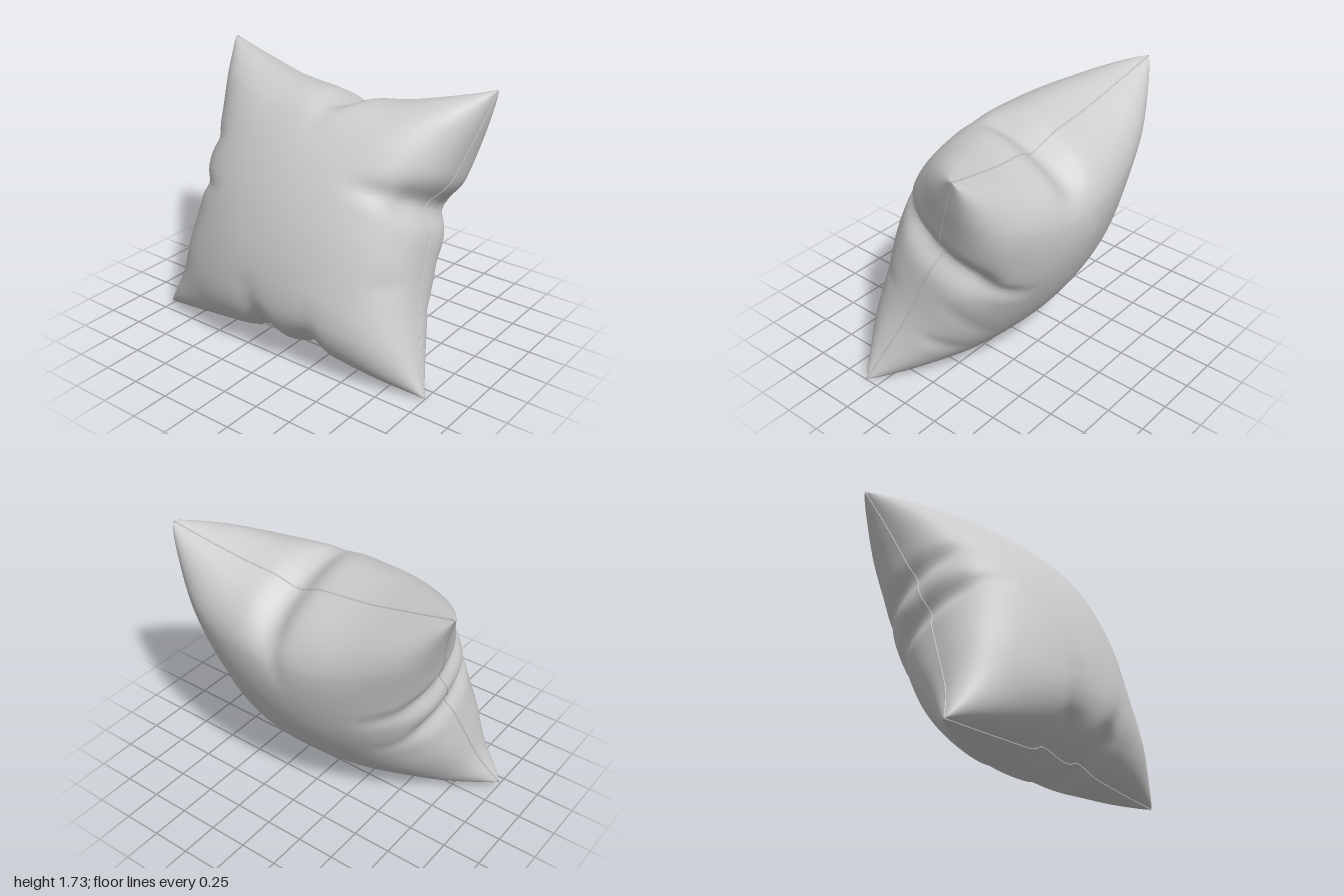
import * as THREE from 'three';

// Cushion frame: x across, u up along the leaning seam plane, n out of its front
const place = (x, u, n) => new THREE.Vector3(
  x, Math.max(0.004, 0.87 + 0.915 * u + 0.404 * n), -0.01 - 0.404 * u + 0.915 * n);

const curve = pts => new THREE.CatmullRomCurve3(pts.map(([x, u]) => new THREE.Vector3(x, u, 0)));

// Bowed seam edges
const TL = [-0.995, 0.92], TR = [0.95, 0.935], BL = [-0.995, -0.945], BR = [0.995, -0.925];
const left = curve([BL, [-0.89, -0.7], [-0.84, -0.42], [-0.8, -0.14], [-0.805, 0.12],
  [-0.83, 0.4], [-0.91, 0.69], TL]);
const right = curve([BR, [0.9, -0.7], [0.815, -0.42], [0.78, -0.14], [0.775, 0.14],
  [0.83, 0.42], [0.9, 0.7], TR]);
const bottom = curve([BL, [-0.72, -0.92], [-0.43, -0.89], [-0.14, -0.865], [0.14, -0.86],
  [0.43, -0.88], [0.72, -0.91], BR]);
const top = curve([TL, [-0.72, 0.845], [-0.43, 0.775], [-0.14, 0.745], [0.14, 0.735],
  [0.42, 0.765], [0.7, 0.845], TR]);

// Local tucks pulling the seam inward: x, u, shift x, shift u, radius
const tucks = [
  [0.775, 0.18, -0.09, 0, 0.11], [-0.8, -0.04, 0.05, 0, 0.08], [-0.81, 0.24, 0.045, 0, 0.08],
  [-0.08, -0.865, 0, 0.06, 0.1], [0.26, -0.86, 0, 0.06, 0.09], [0.1, 0.735, 0, -0.075, 0.11],
];

// Point of the seam plane, blended from the four edges (a, b in 0..1)
function planePoint(a, b) {
  const B = bottom.getPoint(a), T = top.getPoint(a), L = left.getPoint(b), R = right.getPoint(b);
  const mix = k => (1 - b) * B[k] + b * T[k] + (1 - a) * L[k] + a * R[k];
  const corner = i => (1 - a) * (1 - b) * BL[i] + a * (1 - b) * BR[i] + (1 - a) * b * TL[i] + a * b * TR[i];
  const x = mix('x') - corner(0), u = mix('y') - corner(1);
  let dx = 0, du = 0;
  for (const [tx, tu, sx, su, r] of tucks) {
    const w = Math.exp(-((x - tx) ** 2 + (u - tu) ** 2) / r ** 2);
    dx += sx * w;
    du += su * w;
  }
  return [x + dx, u + du];
}

// Slight twist of the seam plane
const twist = x => 0.02 - 0.045 * x;

// Creases fading out from the tucks: x0, u0, x1, u1, depth, width
const frontCreases = [
  [0.7, 0.18, 0.46, 0.2, 0.06, 0.06], [-0.76, 0.24, -0.62, 0.26, 0.04, 0.05],
  [-0.76, -0.04, -0.54, -0.05, 0.05, 0.05], [0.26, -0.82, 0.33, -0.64, 0.04, 0.07],
  [-0.08, -0.82, -0.12, -0.6, 0.045, 0.08], [0.1, 0.68, 0.08, 0.5, 0.03, 0.07],
  [0.8, -0.3, 0.66, -0.36, 0.02, 0.06],
];
const backCreases = [
  [0.7, 0.18, 0.44, 0.1, 0.05, 0.05], [0.78, -0.12, 0.5, -0.34, 0.025, 0.06],
  [-0.76, 0.24, -0.52, 0.2, 0.045, 0.05], [-0.76, -0.04, -0.56, -0.12, 0.035, 0.05],
  [0.08, 0.68, -0.02, 0.46, 0.035, 0.06], [0.26, -0.82, 0.28, -0.66, 0.03, 0.07],
  [-0.08, -0.82, -0.12, -0.64, 0.03, 0.07], [0.78, -0.45, 0.58, -0.52, 0.025, 0.05],
];
function creaseDepth(x, u, creases) {
  let sum = 0;
  for (const [x0, u0, x1, u1, depth, width] of creases) {
    const dx = x1 - x0, du = u1 - u0;
    const k = THREE.MathUtils.clamp(((x - x0) * dx + (u - u0) * du) / (dx * dx + du * du), 0, 1);
    const d2 = (x - x0 - k * dx) ** 2 + (u - u0 - k * du) ** 2;
    sum += depth * (1 - 0.8 * k) * Math.exp(-d2 / width ** 2);
  }
  return sum;
}

// One puffed half of the cover; side is 1 for front, -1 for back, lean thickens the top
function cover(name, side, height, lean, creases, material) {
  const geo = new THREE.PlaneGeometry(2, 2, 96, 96);
  const pos = geo.attributes.position;
  for (let i = 0; i < pos.count; i++) {
    // rows crowd toward the seam where the cloth turns fastest
    const s = Math.sin(side * pos.getX(i) * Math.PI / 2);
    const t = Math.sin(pos.getY(i) * Math.PI / 2);
    const [x, u] = planePoint((s + 1) / 2, (t + 1) / 2);
    // full middle, slimmer toward the four corners
    const puff = Math.pow(Math.max(0, (1 - s * s) * (1 - t * t)), 0.37) * (1 - 0.35 * s * s * t * t);
    const rim = Math.min(1, puff * 2);
    const ripple = 0.012 * Math.sin(9 * x + 4 * u + side) * Math.sin(8 * u - 3 * x) * rim * (1 - puff);
    const n = height * (1 + lean * t) * puff + ripple - rim * creaseDepth(x, u, creases);
    const p = place(x, u, twist(x) + side * Math.max(0, n));
    pos.setXYZ(i, p.x, p.y, p.z);
  }
  geo.computeVertexNormals();
  const mesh = new THREE.Mesh(geo, material);
  mesh.name = name;
  return mesh;
}

// Thin raised seam around all four edges
function seam(material) {
  const pts = [];
  const steps = 48;
  for (const edge of [k => [k, 0], k => [1, k], k => [1 - k, 1], k => [0, 1 - k]]) {
    for (let i = 0; i < steps; i++) {
      const [x, u] = planePoint(...edge(i / steps));
      pts.push(place(x, u, twist(x)));
    }
  }
  const path = new THREE.CatmullRomCurve3(pts, true);
  const mesh = new THREE.Mesh(new THREE.TubeGeometry(path, 384, 0.005, 6, true), material);
  mesh.name = 'seam';
  return mesh;
}

export function createModel() {
  const group = new THREE.Group();
  group.name = 'cushion';
  const cloth = new THREE.MeshStandardMaterial({ color: 0xcccccc, side: THREE.DoubleSide });
  group.add(
    cover('frontCover', 1, 0.545, 0.06, frontCreases, cloth),
    cover('backCover', -1, 0.555, 0.12, backCreases, cloth),
    seam(cloth),
  );
  return group;
}
